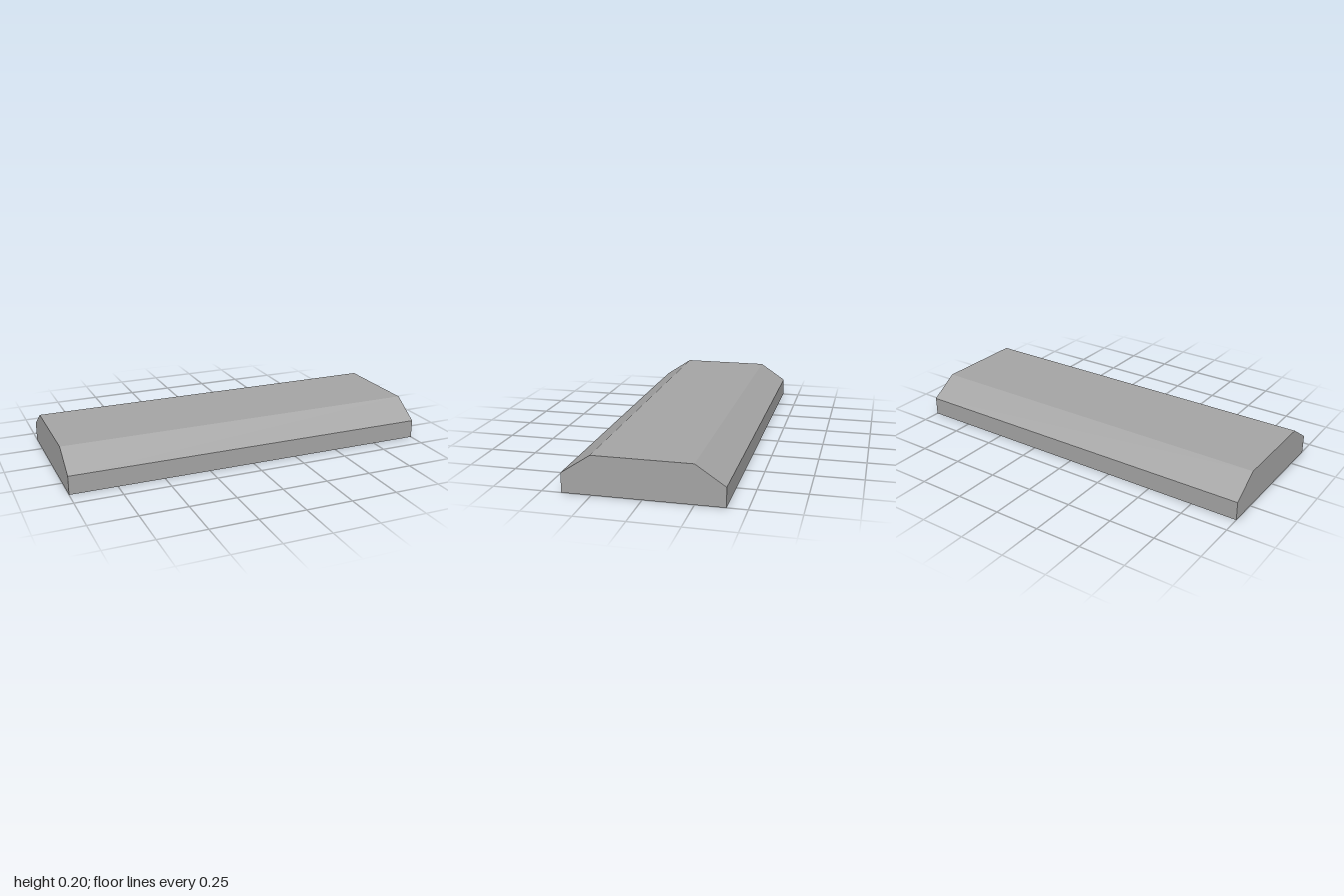
import * as THREE from 'three';

const LENGTH = 2, WIDTH = 0.8, WALL = 0.04, RIM = 0.1, HEIGHT = 0.2, TOP_WIDTH = 0.5;

// Rectangle centred on the origin
function rectangle(PathType, w, h) {
  return new PathType([
    new THREE.Vector2(-w / 2, -h / 2), new THREE.Vector2(w / 2, -h / 2),
    new THREE.Vector2(w / 2, h / 2), new THREE.Vector2(-w / 2, h / 2),
  ]);
}

export function createModel() {
  const model = new THREE.Group();
  model.name = 'ceilingLightFixture';
  const material = new THREE.MeshStandardMaterial({ color: 0xa4a4a4 });

  const add = (name, geometry) => {
    const mesh = new THREE.Mesh(geometry, material);
    mesh.name = name;
    model.add(mesh);
    return mesh;
  };

  // Rectangular rim around the recess, open at the bottom
  const frame = rectangle(THREE.Shape, LENGTH, WIDTH);
  frame.holes.push(rectangle(THREE.Path, LENGTH - 2 * WALL, WIDTH - 2 * WALL));
  add('rim', new THREE.ExtrudeGeometry(frame, { depth: RIM, bevelEnabled: false })
    .rotateX(-Math.PI / 2));

  // Housing with sloped long sides; its underside is the recess ceiling
  const profile = new THREE.Shape([
    new THREE.Vector2(-WIDTH / 2, RIM), new THREE.Vector2(WIDTH / 2, RIM),
    new THREE.Vector2(TOP_WIDTH / 2, HEIGHT), new THREE.Vector2(-TOP_WIDTH / 2, HEIGHT),
  ]);
  add('housing', new THREE.ExtrudeGeometry(profile, { depth: LENGTH, bevelEnabled: false })
    .translate(0, 0, -LENGTH / 2).rotateY(Math.PI / 2));

  // Three lamp tubes, half sunk into the ceiling
  const lamp = new THREE.CylinderGeometry(0.05, 0.05, LENGTH - 2 * WALL, 24, 1, true, Math.PI, Math.PI)
    .rotateZ(Math.PI / 2);
  ['back', 'middle', 'front'].forEach((place, i) => {
    add(place + 'LampTube', lamp).position.set(0, RIM, (i - 1) * 0.2);
  });

  return model;
}
